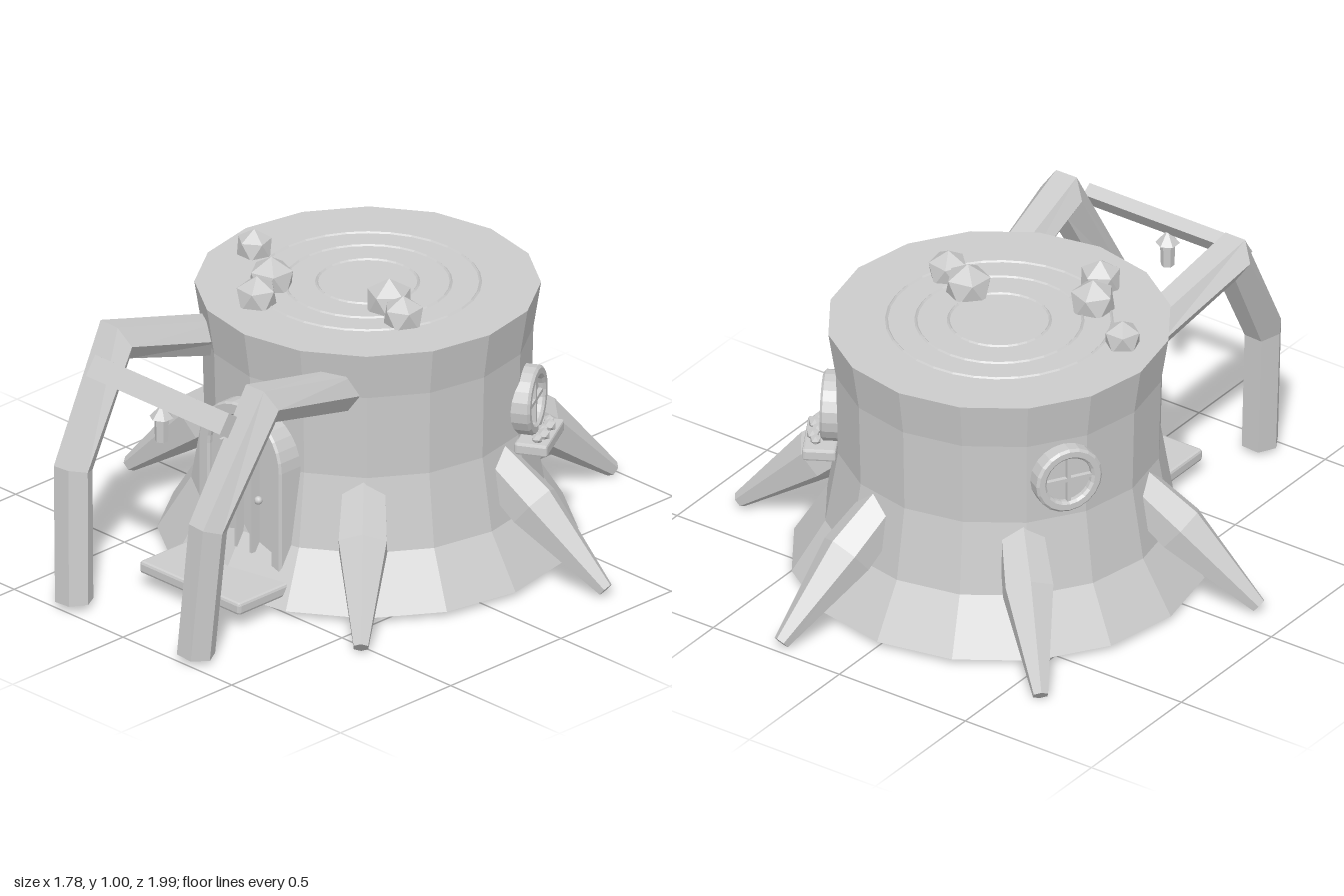
import * as THREE from 'three';
import { RoundedBoxGeometry } from 'three/addons/geometries/RoundedBoxGeometry.js';

const CZ = -0.11; // trunk centre on z
const flat = new THREE.MeshStandardMaterial({ color: 0xcccccc, flatShading: true });
const smooth = new THREE.MeshStandardMaterial({ color: 0xcccccc });
const V = (x, y, z) => new THREE.Vector3(x, y, z);

function add(parent, name, geometry, x = 0, y = 0, z = 0, material = flat) {
  const mesh = new THREE.Mesh(geometry, material);
  mesh.name = name;
  mesh.position.set(x, y, z);
  parent.add(mesh);
  return mesh;
}

// Closed six-sided limb through points; u is the sideways axis of each section
function limb(points, radii, u, phase) {
  const n = 6, pos = [], idx = [];
  points.forEach((p, i) => {
    const prev = points[Math.max(i - 1, 0)], next = points[Math.min(i + 1, points.length - 1)];
    const before = p.clone().sub(prev).normalize(), after = next.clone().sub(p).normalize();
    const t = before.add(after).normalize();
    const side = u.clone().addScaledVector(t, -u.dot(t)).normalize();
    const v = t.clone().cross(side);
    for (let j = 0; j < n; j++) {
      const a = phase + (j / n) * Math.PI * 2;
      const q = p.clone().addScaledVector(side, Math.cos(a) * radii[i]).addScaledVector(v, Math.sin(a) * radii[i]);
      pos.push(q.x, q.y, q.z);
    }
  });
  const last = (points.length - 1) * n;
  for (let i = 0; i < last; i += n) {
    for (let j = 0; j < n; j++) {
      const k = (j + 1) % n;
      idx.push(i + j, i + k, i + n + j, i + k, i + n + k, i + n + j);
    }
  }
  for (let j = 1; j < n - 1; j++) idx.push(0, j + 1, j, last, last + j, last + j + 1);
  const g = new THREE.BufferGeometry();
  g.setAttribute('position', new THREE.Float32BufferAttribute(pos, 3));
  g.setIndex(idx);
  g.computeVertexNormals();
  return g;
}

// Arched outline with straight sides and a round top
function arch(Type, w, bottom, spring) {
  const s = new Type();
  s.moveTo(-w, bottom);
  s.lineTo(w, bottom);
  s.lineTo(w, spring);
  s.absarc(0, spring, w, 0, Math.PI, false);
  s.lineTo(-w, bottom);
  return s;
}

// Round window facing outward at angle a around the trunk
function makeWindow(a, y, withSill) {
  const g = new THREE.Group();
  g.name = withSill ? 'windowWithSill' : 'window';
  g.position.set(Math.cos(a) * 0.53, y, CZ + Math.sin(a) * 0.53);
  g.rotation.y = Math.PI / 2 - a;
  const ring = new THREE.Shape().absarc(0, 0, 0.108, 0, Math.PI * 2, false);
  ring.holes.push(new THREE.Path().absarc(0, 0, 0.088, 0, Math.PI * 2, true));
  add(g, 'windowFrame', new THREE.ExtrudeGeometry(ring, {
    depth: 0.055, bevelEnabled: true, bevelSize: 0.008, bevelThickness: 0.008, bevelSegments: 1, curveSegments: 10,
  }), 0, 0, -0.02);
  add(g, 'windowPane', new THREE.CylinderGeometry(0.092, 0.092, 0.04, 20).rotateX(Math.PI / 2));
  add(g, 'windowBar', new THREE.BoxGeometry(0.18, 0.013, 0.02), 0, 0, 0.025);
  add(g, 'windowBar', new THREE.BoxGeometry(0.013, 0.18, 0.02), 0, 0, 0.025);
  if (withSill) {
    add(g, 'windowSill', new RoundedBoxGeometry(0.22, 0.042, 0.11, 1, 0.008), 0, -0.13, 0.045);
    for (let i = 0; i < 5; i++) {
      add(g, 'sillPlant', new THREE.IcosahedronGeometry(0.019 + 0.004 * (i % 2), 0),
        -0.08 + i * 0.035, -0.097, 0.06 + 0.012 * (i % 2));
    }
  }
  return g;
}

export function createModel() {
  const model = new THREE.Group();
  model.name = 'stumpHouse';

  // Flared sixteen-sided stump
  const profile = [[0, 0.02], [0.68, 0.02], [0.57, 0.2], [0.528, 0.45], [0.535, 0.74], [0.56, 0.9], [0, 0.9]];
  add(model, 'trunk', new THREE.LatheGeometry(profile.map(([r, y]) => new THREE.Vector2(r, y)), 16), 0, 0, CZ);

  // Faint growth rings on the cut top
  for (const r of [0.165, 0.27, 0.365]) {
    add(model, 'growthRing', new THREE.TorusGeometry(r, 0.005, 4, 32).rotateX(Math.PI / 2), 0, 0.9, CZ);
  }

  // Roots at every sixth of a turn, leaving out the doorway
  for (let i = 0; i < 6; i++) {
    if (i === 3) continue;
    const a = THREE.MathUtils.degToRad(-74 + i * 60);
    const at = (r, y) => V(Math.cos(a) * r, y, CZ + Math.sin(a) * r);
    add(model, 'root', limb([at(0.42, 0.42), at(0.63, 0.255), at(0.9, 0.022)], [0.075, 0.09, 0.027],
      V(-Math.sin(a), 0, Math.cos(a)), Math.PI / 6));
  }

  // Bent branches forming the porch
  for (const s of [-1, 1]) {
    add(model, 'porchBranch', limb(
      [V(s * 0.29, 0.745, 0.28), V(s * 0.335, 0.855, 0.705), V(s * 0.31, 0.475, 0.92), V(s * 0.28, 0.02, 0.945)],
      [0.07, 0.08, 0.066, 0.064], V(1, 0, 0), 0));
  }
  add(model, 'porchBeam', new THREE.BoxGeometry(0.615, 0.075, 0.045), 0, 0.805, 0.825).rotation.x = -0.6;

  // Lantern hanging from the beam
  const lantern = new THREE.Group();
  lantern.name = 'lantern';
  lantern.position.set(0, 0, 0.825);
  model.add(lantern);
  add(lantern, 'lanternBody', new THREE.CylinderGeometry(0.025, 0.022, 0.085, 6), 0, 0.69, 0);
  add(lantern, 'lanternRoof', new THREE.ConeGeometry(0.04, 0.045, 6), 0, 0.754, 0);
  add(lantern, 'lanternHook', new THREE.CylinderGeometry(0.004, 0.004, 0.05, 5), 0, 0.782, 0);

  // Arched door with frame, plank grooves and knob
  const frame = arch(THREE.Shape, 0.182, 0.04, 0.468);
  frame.holes.push(arch(THREE.Path, 0.148, 0.05, 0.468));
  add(model, 'doorFrame', new THREE.ExtrudeGeometry(frame, {
    depth: 0.1, bevelEnabled: true, bevelSize: 0.006, bevelThickness: 0.008, bevelSegments: 1, curveSegments: 8,
  }), 0, 0, 0.365);
  add(model, 'door', new THREE.ExtrudeGeometry(arch(THREE.Shape, 0.15, 0.045, 0.468),
    { depth: 0.1, bevelEnabled: false, curveSegments: 8 }), 0, 0, 0.355);
  for (const x of [-0.07, 0, 0.07]) {
    add(model, 'doorStrip', new THREE.BoxGeometry(0.01, 0.36, 0.04), x, 0.335, 0.47);
  }
  add(model, 'doorKnob', new THREE.SphereGeometry(0.014, 10, 8), 0.09, 0.345, 0.475, smooth);

  // Doorstep
  add(model, 'doorstep', new RoundedBoxGeometry(0.46, 0.043, 0.34, 1, 0.01), 0, 0.074, 0.53);

  // Windows on both sides
  model.add(makeWindow(THREE.MathUtils.degToRad(-30), 0.548, true));
  model.add(makeWindow(THREE.MathUtils.degToRad(211), 0.61, false));

  // Leafy tufts on the top: x, z, radius
  const tufts = [[-0.41, 0.0, 0.064], [-0.2, 0.13, 0.08], [-0.14, 0.255, 0.073], [0.185, -0.025, 0.082], [0.295, 0.02, 0.072]];
  tufts.forEach(([x, z, r], i) => {
    const g = new THREE.IcosahedronGeometry(r, 0).rotateX(-Math.atan(1.618)).rotateY(i * 0.9);
    add(model, 'tuft', g, x, 0.922, z);
  });

  return model;
}
